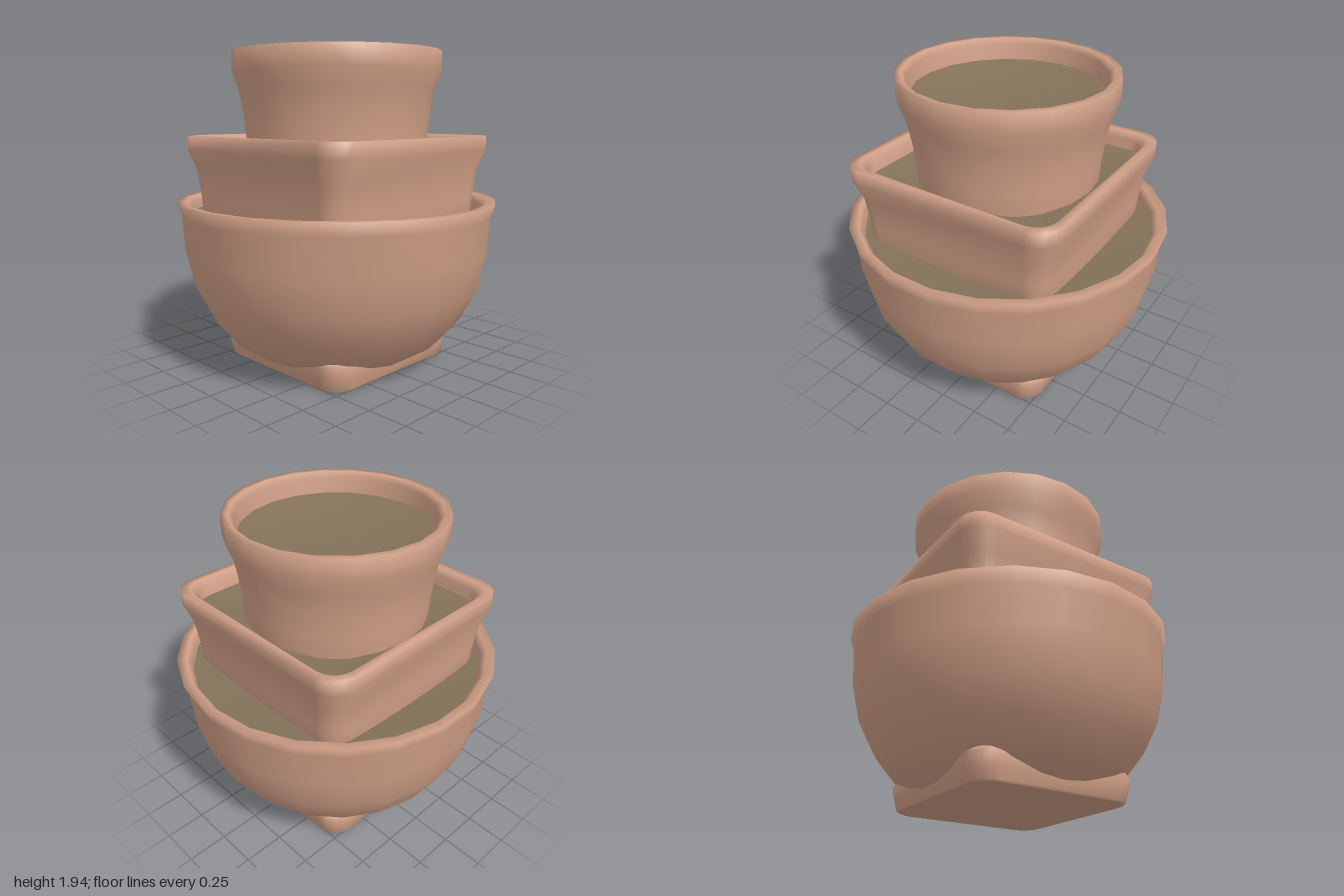
import * as THREE from 'three';

const terracotta = new THREE.MeshStandardMaterial({ color: 0xd2a188 });
terracotta.name = 'terracotta';
const soil = new THREE.MeshStandardMaterial({ color: 0x84725a });
soil.name = 'soil';

// Surface of revolution from [radius, y] pairs, running up the outside and down the inside
function round(profile, sides) {
  return new THREE.LatheGeometry(profile.map(([r, y]) => new THREE.Vector2(r, y)), sides);
}

// Rounded-square counterpart of a lathe: [half width, y] pairs
function square(profile, cornerShare = 0.2, steps = 4) {
  const positions = [], index = [];
  const n = 4 * (steps + 1);
  for (const [half, y] of profile) {
    const rad = half * cornerShare, c = half - rad;
    for (let q = 0; q < 4; q++) {
      const mid = (q + 0.5) * Math.PI / 2;
      for (let s = 0; s <= steps; s++) {
        const a = (q + s / steps) * Math.PI / 2;
        positions.push(
          Math.sign(Math.sin(mid)) * c + Math.sin(a) * rad, y,
          Math.sign(Math.cos(mid)) * c + Math.cos(a) * rad);
      }
    }
  }
  for (let j = 0; j < profile.length - 1; j++) {
    for (let i = 0; i < n; i++) {
      const a = j * n + i, b = j * n + (i + 1) % n;
      index.push(a, b, b + n, a, b + n, a + n);
    }
  }
  const g = new THREE.BufferGeometry();
  g.setAttribute('position', new THREE.Float32BufferAttribute(positions, 3));
  g.setIndex(index);
  g.computeVertexNormals();
  return g;
}

// Gently dished fill, from the wall to the centre
function dish(edge, y, depth) {
  const points = [];
  for (let i = 0; i <= 5; i++) {
    const t = 1 - i / 5;
    points.push([Math.max(edge * t, 0.0001), y - depth * (1 - t * t)]);
  }
  return points;
}

export function createModel() {
  const model = new THREE.Group();
  model.name = 'stackedPlanter';
  const add = (name, geometry, material, turn = 0) => {
    const mesh = new THREE.Mesh(geometry, material);
    mesh.name = name;
    mesh.rotation.y = turn;
    model.add(mesh);
  };

  // Square foot with a closed underside
  add('foot', square([[0.0001, 0], [0.3, 0], [0.5, 0], [0.515, 0.01], [0.53, 0.08],
    [0.54, 0.15], [0.525, 0.175], [0.45, 0.18]], 0.24), terracotta);

  // Large lower bowl
  add('lowerBowl', round([[0.0001, 0.03], [0.35, 0.03], [0.53, 0.065], [0.68, 0.16],
    [0.805, 0.31], [0.9, 0.49], [0.955, 0.72], [0.972, 0.95], [1, 1.03],
    [0.945, 1.03], [0.915, 0.99], [0.905, 0.85]], 22), terracotta, Math.PI / 2);
  add('lowerSoil', round(dish(0.91, 0.95, 0.07), 22), soil, Math.PI / 2);

  // Square middle pot
  add('middlePot', square([[0.0001, 0.82], [0.6, 0.82], [0.64, 0.86], [0.65, 1.04],
    [0.668, 1.21], [0.71, 1.335], [0.71, 1.425], [0.665, 1.425], [0.63, 1.39],
    [0.62, 1.22]]), terracotta);
  add('middleSoil', square(dish(0.625, 1.32, 0.05)), soil);

  // Round upper pot
  add('upperPot', round([[0.0001, 1.2], [0.53, 1.2], [0.56, 1.25], [0.568, 1.43],
    [0.585, 1.58], [0.61, 1.71], [0.65, 1.82], [0.65, 1.94], [0.61, 1.94],
    [0.58, 1.91], [0.57, 1.72]], 20), terracotta);
  add('upperSoil', round(dish(0.573, 1.81, 0.06), 20), soil);

  return model;
}
